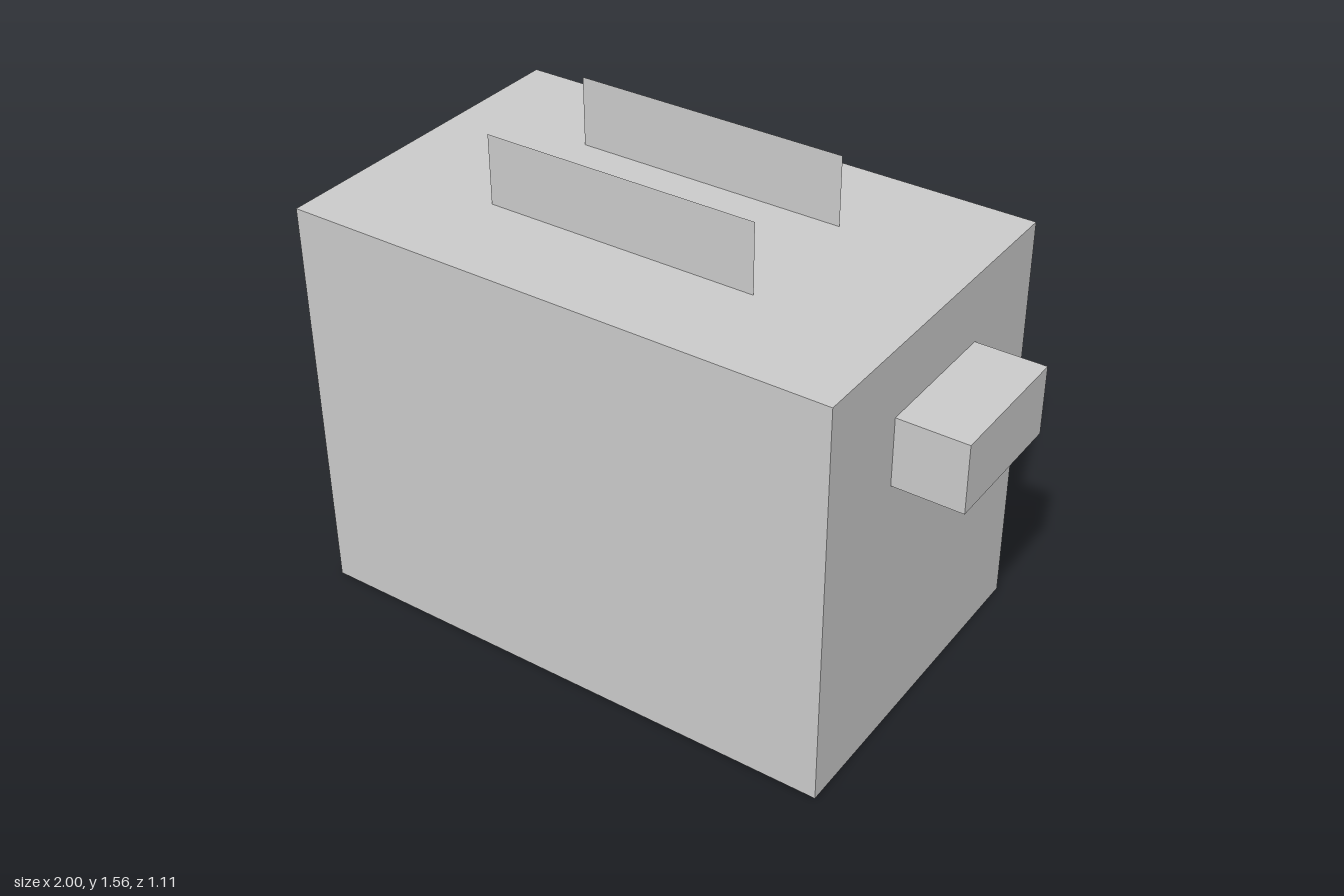
import * as THREE from 'three';

const U = 1 / 9; // modelling unit

export function createModel() {
  const group = new THREE.Group();
  const material = new THREE.MeshStandardMaterial({ color: 0xcccccc, flatShading: true });
  const thinMaterial = new THREE.MeshStandardMaterial({
    color: 0xcccccc, flatShading: true, side: THREE.DoubleSide,
  });

  const add = (name, geometry, mat, x, y, z) => {
    const mesh = new THREE.Mesh(geometry, mat);
    mesh.name = name;
    mesh.position.set(x * U, y * U, z * U);
    group.add(mesh);
  };

  // Toaster housing
  add('body', new THREE.BoxGeometry(16 * U, 12 * U, 10 * U), material, -1, 6, 0);

  // Push-down lever on the side
  add('lever', new THREE.BoxGeometry(2 * U, 2 * U, 4 * U), material, 8, 9, 0);

  // Two paper-thin slices standing on the top
  for (const [name, z] of [['frontSlice', 2], ['backSlice', -2]]) {
    add(name, new THREE.PlaneGeometry(8 * U, 2 * U), thinMaterial, -1, 13, z);
  }

  return group;
}
